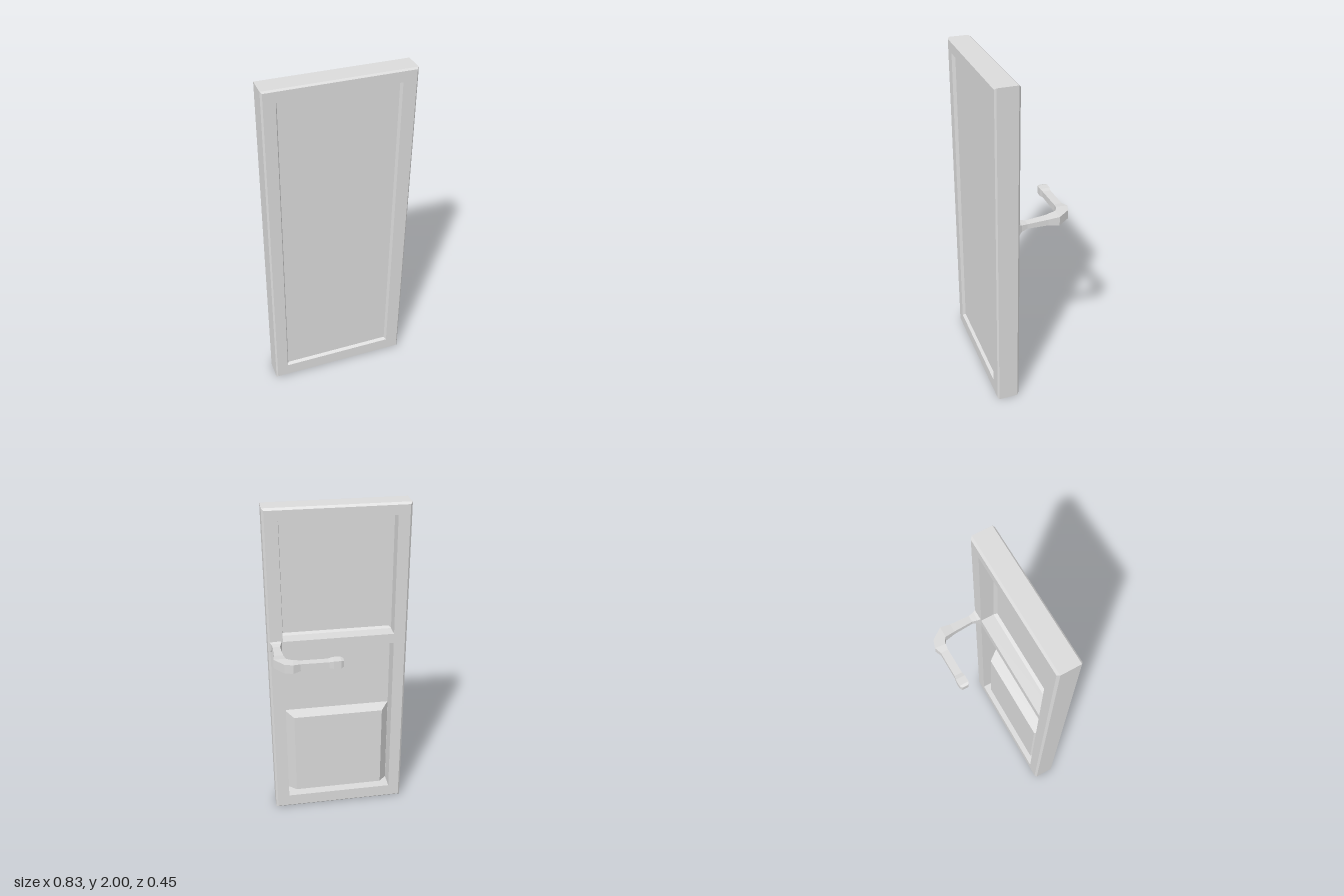
import * as THREE from 'three';

// Skin a row of four-cornered cross-sections, closing the last one; flat facets
function loft(sections, flip) {
  const pos = [];
  const quad = (a, b, c, d) => {
    const q = flip ? [d, c, b, a] : [a, b, c, d];
    for (const i of [0, 1, 2, 0, 2, 3]) pos.push(...q[i]);
  };
  for (let s = 0; s < sections.length - 1; s++) {
    const A = sections[s], B = sections[s + 1];
    for (let i = 0; i < 4; i++) {
      const j = (i + 1) % 4;
      quad(A[i], A[j], B[j], B[i]);
    }
  }
  quad(...sections[sections.length - 1]);
  const g = new THREE.BufferGeometry();
  g.setAttribute('position', new THREE.Float32BufferAttribute(pos, 3));
  g.computeVertexNormals();
  return g;
}

// Upright rectangle at depth z, shrunk by inset
function rect([x0, x1, y0, y1], z, inset = 0) {
  const l = x0 + inset, r = x1 - inset, b = y0 + inset, t = y1 - inset;
  return [[l, b, z], [r, b, z], [r, t, z], [l, t, z]];
}

export function createModel() {
  const group = new THREE.Group();
  const grey = new THREE.MeshStandardMaterial({ color: 0xdadada });
  grey.name = 'plain grey';
  const add = (name, geometry) => {
    const mesh = new THREE.Mesh(geometry, grey);
    mesh.name = name;
    group.add(mesh);
  };

  const outer = [-0.416, 0.415, 0, 2];
  const recess = [-0.341, 0.331, 0.086, 1.931];
  const upper = [-0.336, 0.328, 1.21, 1.931];
  const lower = [-0.336, 0.328, 0.088, 1.15];
  const back = 0.088, front = 0.224, panelBack = 0.19;

  // Chamfered slab with a shallow recessed panel on the front
  add('frameAndFrontPanel', loft([
    rect(outer, back, 0.012), rect(outer, back + 0.012),
    rect(outer, front - 0.009), rect(outer, front, 0.009),
    rect(recess, front), rect(recess, front - 0.019, 0.009),
  ], false));

  // Back face of the frame, pierced by the two openings
  const outline = (corners) => corners.map(([x, y]) => new THREE.Vector2(x, y));
  const face = new THREE.Shape(outline(rect(outer, 0, 0.012)));
  for (const o of [upper, lower]) face.holes.push(new THREE.Path(outline(rect(o, 0))));
  const faceGeometry = new THREE.ShapeGeometry(face);
  faceGeometry.translate(0, 0, back);
  // turn the triangles to face backwards
  const index = faceGeometry.index.array;
  for (let i = 0; i < index.length; i += 3) [index[i], index[i + 1]] = [index[i + 1], index[i]];
  faceGeometry.computeVertexNormals();
  add('backFrame', faceGeometry);

  // Reveals running in to the panel, the upper one with a small bead
  add('upperOpening', loft([
    rect(upper, back), rect(upper, 0.17), rect(upper, panelBack, 0.01),
  ], true));
  add('lowerOpening', loft([rect(lower, back), rect(lower, panelBack)], true));

  // Raised pad with sloping edges in the lower opening
  add('raisedPad', loft([
    rect([-0.335, 0.327, 0.09, 0.683], panelBack),
    rect([-0.283, 0.275, 0.11, 0.663], 0.118),
  ], true));

  // Handle: [inner x, inner z, outer x, outer z, bottom y, top y]
  const path = [
    [0.333, 0.092, 0.411, 0.1, 1.142, 1.217],
    [0.341, 0.07, 0.399, 0.075, 1.167, 1.208],
    [0.35, 0.04, 0.392, 0.04, 1.176, 1.204],
    [0.343, -0.08, 0.395, -0.08, 1.174, 1.21],
    [0.334, -0.142, 0.403, -0.142, 1.166, 1.219],
    [0.31, -0.159, 0.35, -0.213, 1.166, 1.219],
    [0.295, -0.162, 0.302, -0.228, 1.166, 1.219],
    [0.26, -0.166, 0.26, -0.212, 1.172, 1.214],
    [0.1, -0.163, 0.1, -0.21, 1.175, 1.211],
    [0.075, -0.157, 0.075, -0.215, 1.17, 1.216],
    [0.032, -0.157, 0.032, -0.215, 1.17, 1.216],
    [0.016, -0.167, 0.016, -0.205, 1.175, 1.211],
  ];
  add('handle', loft(path.map(([xi, zi, xo, zo, b, t]) =>
    [[xi, b, zi], [xo, b, zo], [xo, t, zo], [xi, t, zi]]), true));

  return group;
}
